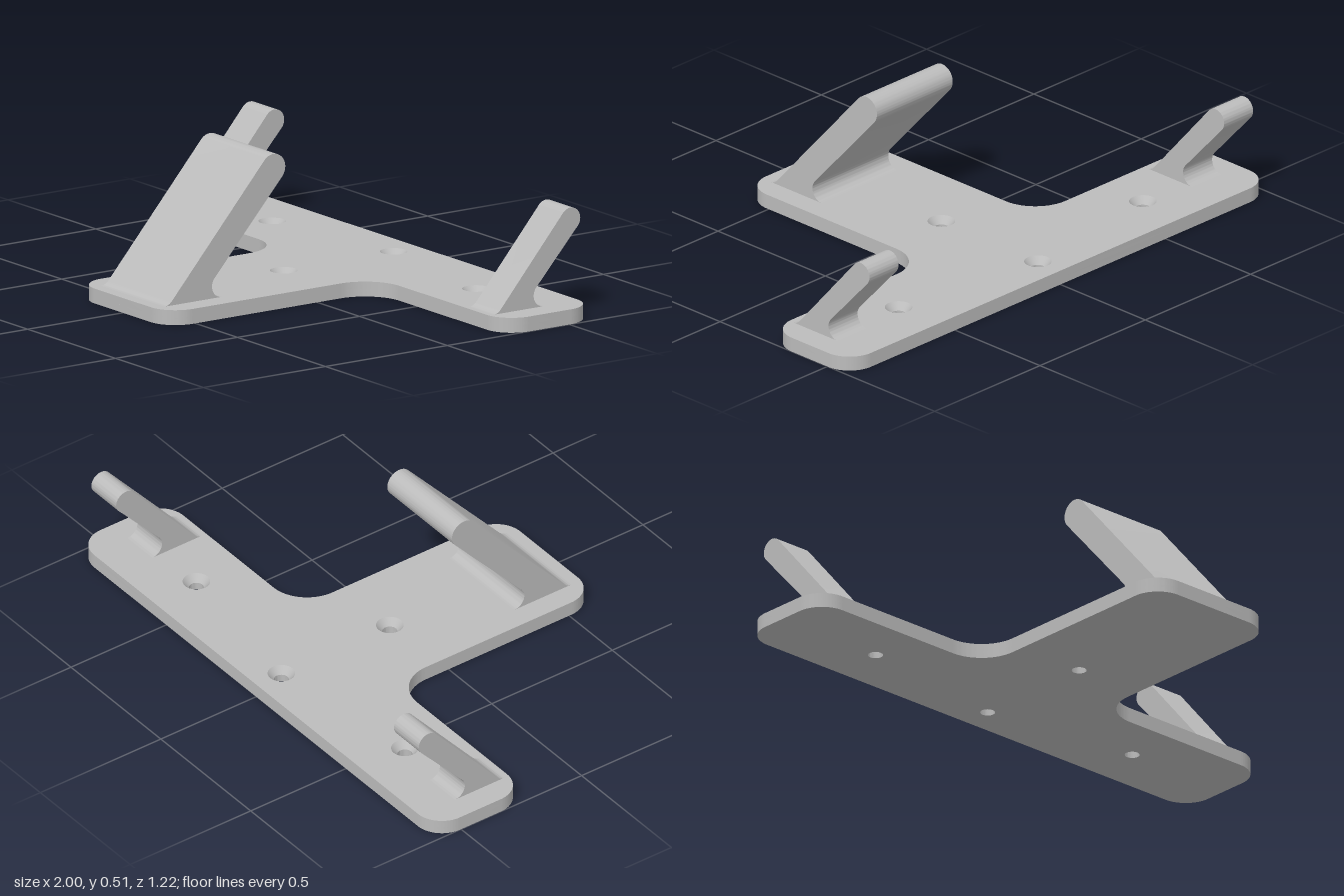
import * as THREE from 'three';
import { toCreasedNormals } from 'three/addons/utils/BufferGeometryUtils.js';

const T = 0.051;        // plate thickness
const SINK = 0.026;     // height where the countersinks begin
const R_HOLE = 0.025, R_SINK = 0.046;
const HOLES = [[0, -0.5], [0, -0.05], [-0.58, -0.42], [0.58, -0.42]]; // x, z

// T-shaped outline in (x, -z), with screw holes of the given radius
function plateShape(holeRadius) {
  const s = new THREE.Shape(), q = Math.PI / 2, r = 0.1, f = 0.14;
  const w = 0.26, front = -0.61, mid = 0.235, back = 0.605;
  s.absarc(-w + r, front + r, r, 2 * q, 3 * q);
  s.absarc(w - r, front + r, r, 3 * q, 4 * q);
  s.absarc(w + f, mid - f, f, 2 * q, q, true);
  s.absarc(1 - r, mid + r, r, 3 * q, 4 * q);
  s.absarc(1 - r, back - r, r, 0, q);
  s.absarc(-1 + r, back - r, r, q, 2 * q);
  s.absarc(-1 + r, mid + r, r, 2 * q, 3 * q);
  s.absarc(-w - f, mid - f, f, q, 0, true);
  s.closePath();
  for (const [x, z] of HOLES) {
    s.holes.push(new THREE.Path().absarc(x, -z, holeRadius, 0, Math.PI * 2, true));
  }
  return s;
}

function plateLayer(holeRadius, y0, y1) {
  const g = new THREE.ExtrudeGeometry(plateShape(holeRadius), { depth: y1 - y0, bevelEnabled: false, curveSegments: 16 });
  g.rotateX(-Math.PI / 2).translate(0, y0, 0);
  return toCreasedNormals(g, 0.5);
}

// Leaning prong: side profile in (z, y), extruded across its width
function prongGeometry({ width, tip, tipR, toe, crook }) {
  const lean = 0.72, crookR = 0.041; // angle of the upper face's normal
  const s = new THREE.Shape();
  s.moveTo(crook[0], 0.03);
  s.lineTo(toe + 0.03, 0.03);
  s.lineTo(toe + 0.03, T);
  s.quadraticCurveTo(toe + 0.014, T, toe, 0.066);
  s.absarc(tip[0], tip[1], tipR, lean, lean + Math.PI);
  s.absarc(crook[0], crook[1], crookR, lean, -Math.PI / 2, true);
  s.closePath();
  const g = new THREE.ExtrudeGeometry(s, { depth: width, bevelEnabled: false, curveSegments: 16 });
  g.translate(0, 0, -width / 2).rotateY(-Math.PI / 2);
  return toCreasedNormals(g, 0.5);
}

export function createModel() {
  const group = new THREE.Group();
  group.name = 'wallHook';
  const grey = new THREE.MeshStandardMaterial({ color: 0xbcbcbc });
  grey.name = 'grey';
  const add = (name, geometry, x = 0, y = 0, z = 0) => {
    const m = new THREE.Mesh(geometry, grey);
    m.name = name;
    m.position.set(x, y, z);
    group.add(m);
  };

  // Base plate in two layers, so the holes can widen at the top
  add('plateLower', plateLayer(R_HOLE, 0, SINK));
  add('plateUpper', plateLayer(R_SINK, SINK, T));

  // Conical countersinks, facing inward
  const cone = new THREE.LatheGeometry([new THREE.Vector2(R_SINK, T), new THREE.Vector2(R_HOLE, SINK)], 32);
  for (const [x, z] of HOLES) add('countersink', cone, x, 0, z);

  // One wide prong in front, two narrow ones at the back
  add('frontProng', prongGeometry({ width: 0.36, tip: [0.1225, 0.461], tipR: 0.049, toe: 0.538, crook: [0.333, 0.092] }));
  const small = prongGeometry({ width: 0.138, tip: [-0.569, 0.333], tipR: 0.04, toe: -0.284, crook: [-0.459, 0.092] });
  for (const side of [-1, 1]) add(side > 0 ? 'leftProng' : 'rightProng', small, side * 0.842);

  return group;
}
